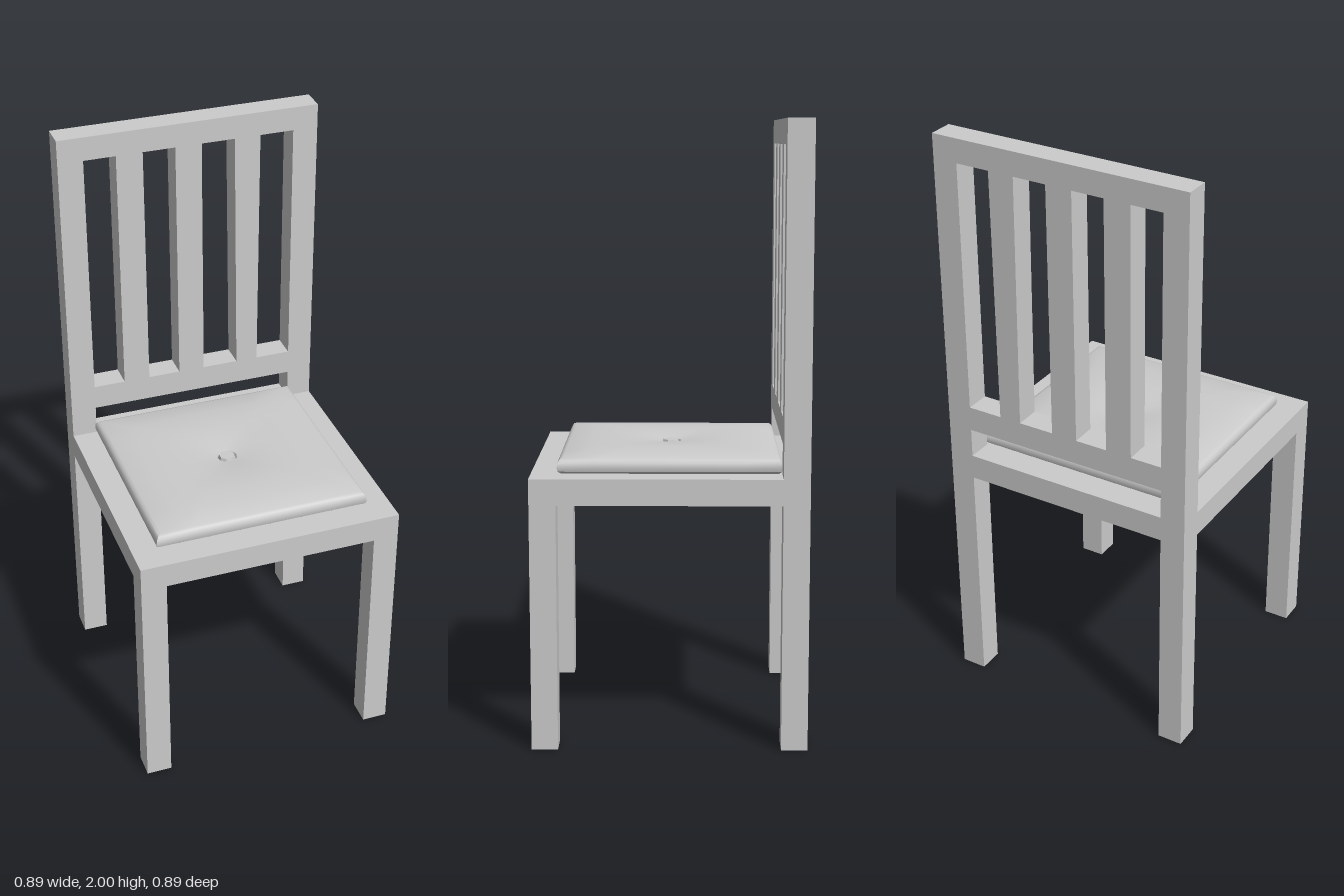
import * as THREE from 'three';
import { toCreasedNormals } from 'three/addons/utils/BufferGeometryUtils.js';

const W = 0.443;   // half width of the chair
const P = 0.358;   // inner face of the posts
const SEAT = 0.885, UNDER = 0.8;

const material = new THREE.MeshStandardMaterial({ color: 0xcccccc });

function add(group, name, geometry, x = 0, y = 0, z = 0) {
  const mesh = new THREE.Mesh(geometry, material);
  mesh.name = name;
  mesh.position.set(x, y, z);
  group.add(mesh);
  return mesh;
}

const outline = (pts, Type) => new Type(pts.map(([x, y]) => new THREE.Vector2(x, y)));

// Back legs, rails and slats cut as one board
function backFrameGeometry() {
  const shape = outline([[-W, 0], [-P, 0], [-P, UNDER], [P, UNDER], [P, 0], [W, 0], [W, 2], [-W, 2]], THREE.Shape);
  const hole = (x0, x1, y0, y1, top0 = x0, top1 = x1) =>
    shape.holes.push(outline([[x0, y0], [top0, y1], [top1, y1], [x1, y0]], THREE.Path));
  hole(-P, P, SEAT, 0.985);
  hole(-P, -0.25, 1.07, 1.92);
  hole(-0.16, -0.05, 1.07, 1.92);
  hole(0.04, 0.162, 1.07, 1.92, 0.04, 0.154);
  hole(0.238, P, 1.07, 1.92, 0.243, P);
  return new THREE.ExtrudeGeometry(shape, { depth: W - P, bevelEnabled: false });
}

// Cushion: rings that go from square at the rim to round at the dimple
function cushionGeometry() {
  const N = 32;
  const rings = [ // half size, height, squareness
    [0.35, 0.885, 1], [0.36, 0.893, 1], [0.363, 0.905, 1], [0.361, 0.92, 1],
    [0.354, 0.93, 1], [0.344, 0.934, 1], [0.27, 0.943, 0.85], [0.2, 0.947, 0.6],
    [0.13, 0.944, 0.35], [0.075, 0.938, 0.15], [0.034, 0.932, 0], [0.03, 0.924, 0], [0.001, 0.924, 0],
  ];
  const pos = [], index = [];
  rings.forEach(([r, y, sq], i) => {
    for (let j = 0; j < N; j++) {
      const a = (j / N) * Math.PI * 2, c = Math.cos(a), s = Math.sin(a);
      const k = r * THREE.MathUtils.lerp(1, 1 / Math.max(Math.abs(c), Math.abs(s)), sq);
      pos.push(c * k, y, s * k);
      if (i === 0) continue;
      const n = (j + 1) % N, lo = (i - 1) * N, hi = i * N;
      index.push(lo + j, hi + j, lo + n, lo + n, hi + j, hi + n);
    }
  });
  const g = new THREE.BufferGeometry();
  g.setAttribute('position', new THREE.Float32BufferAttribute(pos, 3));
  g.setIndex(index);
  return toCreasedNormals(g, 0.6);
}

export function createModel() {
  const chair = new THREE.Group();
  chair.name = 'chair';

  add(chair, 'backFrame', backFrameGeometry(), 0, 0, -W);

  // Seat board in front of the back frame
  add(chair, 'seat', new THREE.BoxGeometry(2 * W, SEAT - UNDER, W + P), 0, (SEAT + UNDER) / 2, (W - P) / 2);

  // Front legs
  for (const side of [-1, 1]) {
    add(chair, side > 0 ? 'frontLegLeft' : 'frontLegRight',
      new THREE.BoxGeometry(W - P, UNDER, W - P), side * (W + P) / 2, UNDER / 2, (W + P) / 2);
  }

  // Cushion with its sunken octagonal button
  add(chair, 'cushion', cushionGeometry()).scale.z = 0.99;
  const button = new THREE.CylinderGeometry(0.026, 0.03, 0.014, 8);
  button.rotateY(Math.PI / 8);
  add(chair, 'cushionButton', toCreasedNormals(button, 0.3), 0, 0.93, 0);

  return chair;
}
